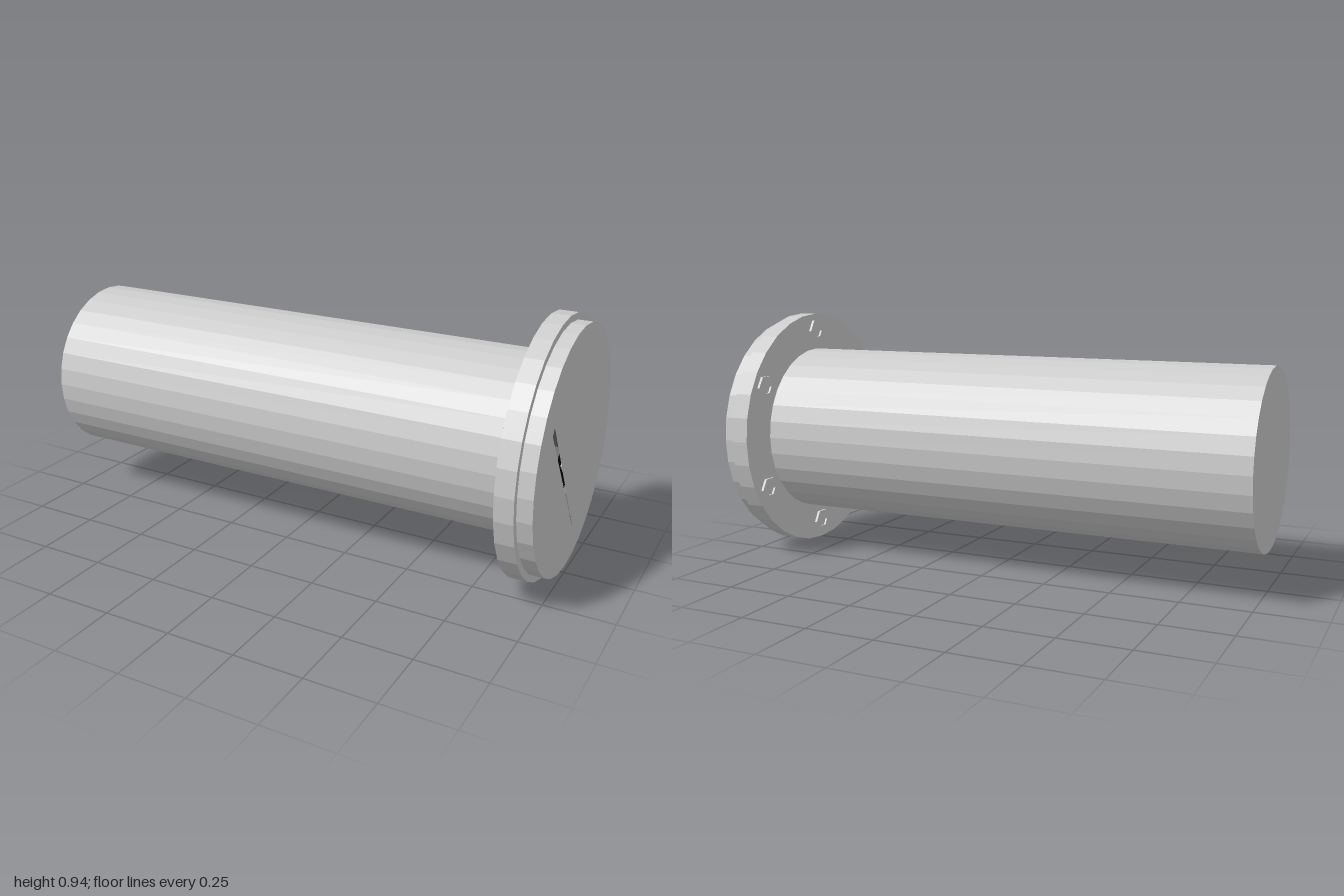
import * as THREE from 'three';

const SIDES = 32;
const AXIS_Y = 0.47;

const material = () => new THREE.MeshStandardMaterial({ color: 0xcccccc, flatShading: true });

// Surface turned around the x axis from [radius, x] pairs.
function turned(name, profile, sides = SIDES) {
  const points = profile.map(([r, x]) => new THREE.Vector2(r, x));
  const geometry = new THREE.LatheGeometry(points, sides).rotateZ(-Math.PI / 2);
  const mesh = new THREE.Mesh(geometry, material());
  mesh.name = name;
  return mesh;
}

export function createModel() {
  const model = new THREE.Group();
  model.name = 'flangedCylinder';
  const assembly = new THREE.Group();
  assembly.name = 'assembly';
  assembly.position.y = AXIS_Y;
  model.add(assembly);

  // Long barrel, closed at its far end
  assembly.add(turned('barrel', [[0, -1], [0.327, -1], [0.327, 0.88]]));

  // Flange and the slightly smaller raised rim
  assembly.add(turned('flange', [[0.327, 0.88], [0.47, 0.88], [0.47, 0.947], [0.445, 0.947]]));
  assembly.add(turned('rim', [[0.445, 0.947], [0.445, 1]]));

  // End face with a narrow slit
  const outline = [];
  for (let i = 0; i < SIDES; i++) {
    const a = (i / SIDES) * Math.PI * 2;
    outline.push(new THREE.Vector2(0.445 * Math.cos(a), 0.445 * Math.sin(a)));
  }
  const face = new THREE.Shape(outline);
  face.holes.push(new THREE.Path([
    new THREE.Vector2(-0.29, 0.156),
    new THREE.Vector2(-0.275, 0.182),
    new THREE.Vector2(0.063, -0.32),
  ]));
  const faceGeometry = new THREE.ShapeGeometry(face).rotateY(Math.PI / 2).translate(1, 0, 0);
  const endFace = new THREE.Mesh(faceGeometry, material());
  endFace.name = 'endFace';
  assembly.add(endFace);

  // Dark inside of the barrel, visible only through the slit
  const lining = turned('darkInterior', [[0, -0.99], [0.325, -0.99], [0.325, 0.87], [0.44, 0.89], [0.44, 0.999]]);
  lining.material.color.set(0x000000);
  lining.material.side = THREE.BackSide;
  assembly.add(lining);

  // Six hexagonal bolts with recessed centres on the back of the flange
  for (let i = 0; i < 6; i++) {
    const a = (i / 6) * Math.PI * 2;
    const bolt = turned('bolt', [[0, 0.878], [0.027, 0.878], [0.027, 0.87], [0.048, 0.87], [0.048, 0.89]], 6);
    bolt.position.set(0, 0.4 * Math.cos(a), 0.4 * Math.sin(a));
    assembly.add(bolt);
  }

  return model;
}
